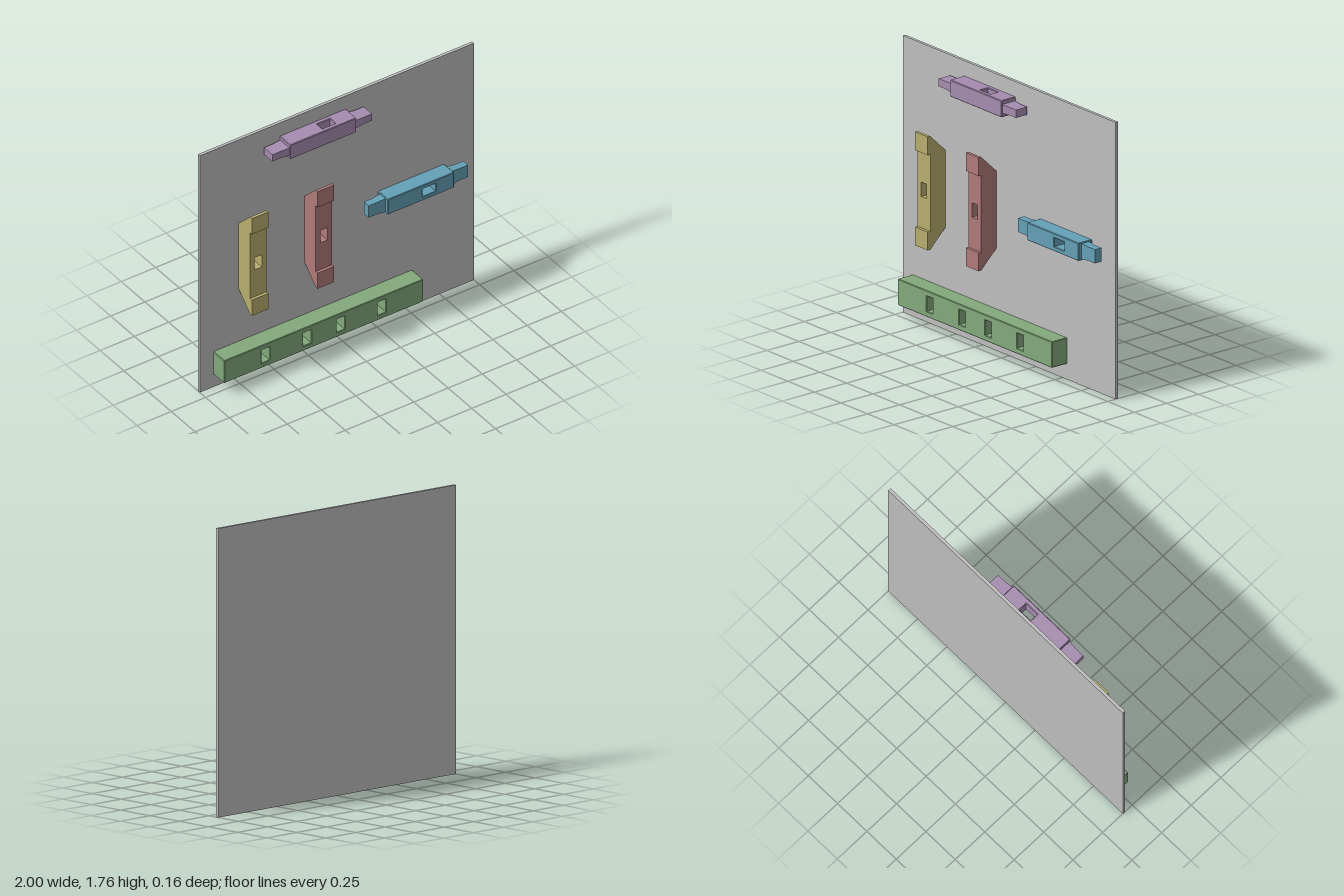
import * as THREE from 'three';

const mat = (name, color) => {
  const m = new THREE.MeshStandardMaterial({ color });
  m.name = name;
  return m;
};

function add(group, name, geometry, material) {
  const mesh = new THREE.Mesh(geometry, material);
  mesh.name = name;
  group.add(mesh);
  return mesh;
}

// rectangular outline with optionally cut corners
function outline(PathType, cx, cy, w, h, c = 0) {
  const x = w / 2, y = h / 2;
  const pts = c
    ? [[-x + c, -y], [x - c, -y], [x, -y + c], [x, y - c], [x - c, y], [-x + c, y], [-x, y - c], [-x, -y + c]]
    : [[-x, -y], [x, -y], [x, y], [-x, y]];
  return new PathType(pts.map(([px, py]) => new THREE.Vector2(cx + px, cy + py)));
}

// timber block centred on the origin, with mortises [x, y, w, h] cut through along z
function mortisedBlock(w, h, d, holes, bevel) {
  const shape = outline(THREE.Shape, 0, 0, w, h, bevel);
  for (const [x, y, hw, hh] of holes) shape.holes.push(outline(THREE.Path, x, y, hw, hh));
  const geo = new THREE.ExtrudeGeometry(shape, {
    depth: d - 2 * bevel, bevelEnabled: bevel > 0, bevelThickness: bevel,
    bevelSize: bevel, bevelOffset: -bevel, bevelSegments: 1,
  });
  return geo.translate(0, 0, -d / 2 + bevel);
}

// rail with a mortised body and a flared tenon at each end
function makeRail(name, material) {
  const rail = new THREE.Group();
  rail.name = name;
  add(rail, 'railBody', mortisedBlock(0.484, 0.114, 0.107, [[0.06, 0, 0.095, 0.056]], 0.004), material);
  for (const side of [-1, 1]) {
    const geo = new THREE.BoxGeometry(0.122, 0.088, 0.05, 2, 1, 1);
    const p = geo.attributes.position;
    for (let i = 0; i < p.count; i++) {
      if (p.getX(i) * side < -0.03) { // root widens towards the body
        p.setY(i, p.getY(i) * 1.13);
        p.setZ(i, p.getZ(i) * 1.15);
      }
    }
    geo.computeVertexNormals();
    add(rail, side < 0 ? 'rightTenon' : 'leftTenon', geo, material).position.x = side * 0.302;
  }
  return rail;
}

// upright brace: mortised middle, mitred ends with a raised front lip
function makeBrace(name, material) {
  const brace = new THREE.Group();
  brace.name = name;
  const width = 0.12, half = 0.245, tip = 0.362;
  add(brace, 'braceBody', mortisedBlock(width, half * 2, 0.12, [[0, 0, 0.052, 0.092]], 0), material);
  for (const s of [1, -1]) {
    // profile in (z, y)
    const pts = [[-0.06, half], [0.08, half], [0.08, tip], [0.06, tip]]
      .map(([z, y]) => new THREE.Vector2(-z, s * y));
    const geo = new THREE.ExtrudeGeometry(new THREE.Shape(pts), { depth: width, bevelEnabled: false });
    geo.translate(0, 0, -width / 2).rotateY(Math.PI / 2);
    add(brace, s > 0 ? 'upperEnd' : 'lowerEnd', geo, material);
  }
  return brace;
}

export function createModel() {
  const model = new THREE.Group();
  model.name = 'timberJointBoard';
  const grey = mat('boardGrey', 0xbebebe);
  const green = mat('beamGreen', 0x83a97b);
  const yellow = mat('braceYellow', 0xb8ad6e);
  const red = mat('braceRed', 0xb07a7a);
  const blue = mat('railBlue', 0x64a0b6);
  const purple = mat('railPurple', 0xa68cb0);

  // backing board
  add(model, 'backBoard', new THREE.BoxGeometry(2, 1.765, 0.02), grey).position.set(0, 0.8825, -0.07);

  // long beam with four mortises
  const holes = [-0.424, -0.12, 0.124, 0.425].map((x) => [x, 0, 0.058, 0.096]);
  add(model, 'longBeam', mortisedBlock(1.452, 0.167, 0.12, holes, 0.004), green).position.set(-0.179, 0.184, 0);

  // two braces
  const leftBrace = makeBrace('yellowBrace', yellow);
  leftBrace.position.set(-0.657, 0.9, 0);
  const midBrace = makeBrace('redBrace', red);
  midBrace.position.set(-0.178, 0.9, 0);

  // two rails, the upper one turned a quarter about its length
  const sideRail = makeRail('sideRail', blue);
  sideRail.position.set(0.539, 0.901, -0.0065);
  const topRail = makeRail('topRail', purple);
  topRail.rotation.x = -Math.PI / 2;
  topRail.position.set(-0.178, 1.616, -0.003);

  model.add(leftBrace, midBrace, sideRail, topRail);
  return model;
}
